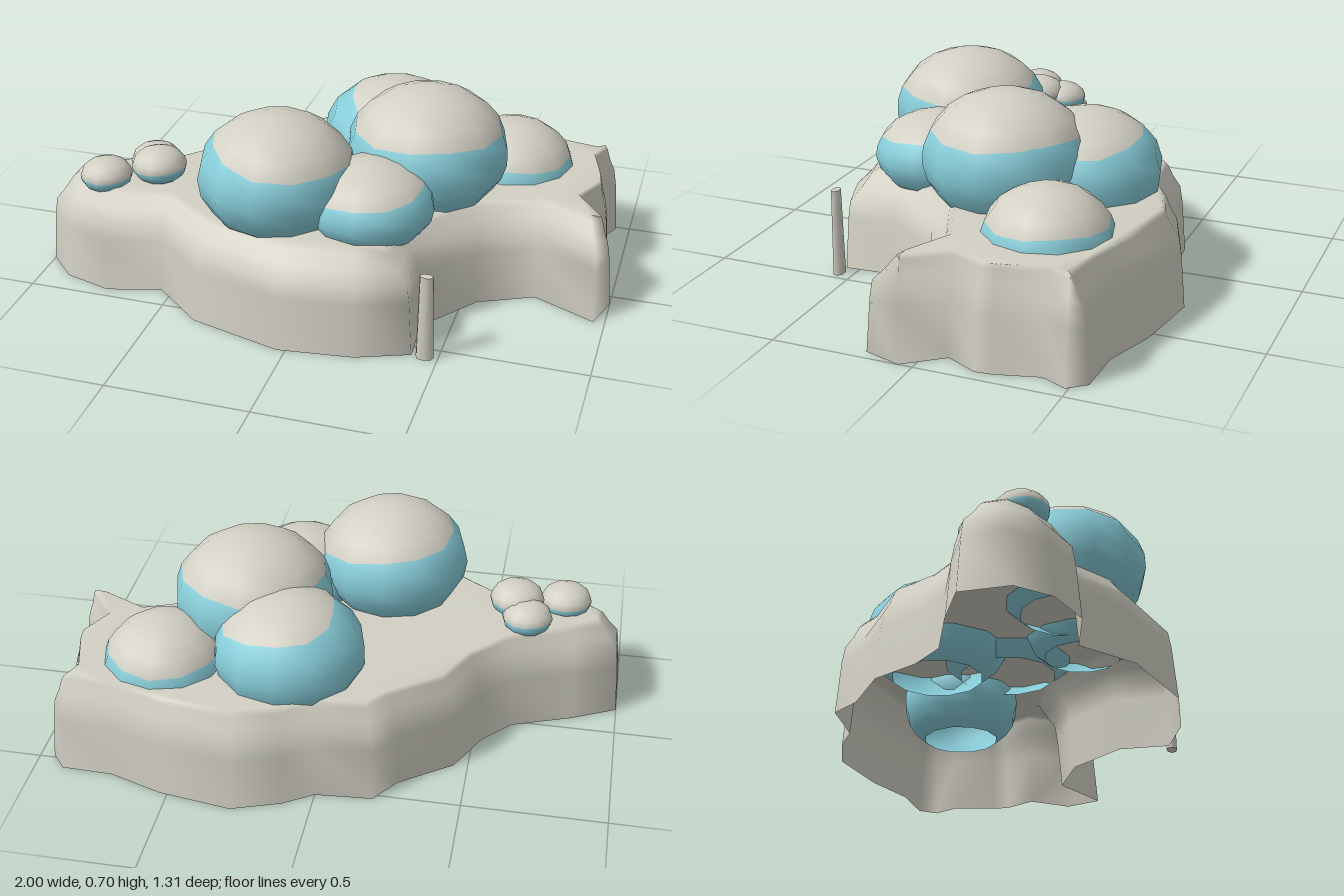
import * as THREE from 'three';

// Ground outline, seen from above: [x, z, bevel width]
const OUTLINE = [
  [-1, .14, .11], [-.84, .06, .08], [-.63, -.02, .07], [-.53, -.13, .07], [-.45, -.29, .07],
  [-.27, -.42, .07], [-.2, -.52, .08], [0, -.535, .07], [.1, -.6, .07], [.27, -.66, .08],
  [.53, -.62, .07], [.72, -.555, .06], [.9, -.55, .09], [.95, -.49, .06], [.91, -.4, .05],
  [.95, -.25, .045], [.955, -.19, .045], [.9, -.08, .05], [1, .05, .05], [.96, .18, .12],
  [.74, .08, .09], [.55, .17, .1], [.4, .37, .1], [.41, .55, .13], [.23, .62, .12],
  [-.03, .65, .12], [-.36, .56, .11], [-.54, .41, .09], [-.73, .46, .1], [-.9, .41, .11], [-1, .31, .1],
];

// Rings of the ground shell: [height, fixed inset, share of the bevel width]
const RINGS = [[0, 0, 0], [.19, .016, 0], [.25, .026, 0], [.29, .02, .4], [.335, .01, .8], [.35, 0, 1.1]];

function groundGeometry() {
  const n = OUTLINE.length;
  const inward = OUTLINE.map((p, i) => {
    const a = OUTLINE[(i + n - 1) % n], b = OUTLINE[(i + 1) % n];
    const d1 = new THREE.Vector2(p[0] - a[0], p[1] - a[1]).normalize();
    const d2 = new THREE.Vector2(b[0] - p[0], b[1] - p[1]).normalize();
    const d = d1.add(d2).normalize();
    return new THREE.Vector2(-d.y, d.x);
  });
  const positions = [], indices = [];
  let rim = [];
  for (const [y, inset, share] of RINGS) {
    rim = OUTLINE.map(([x, z, bevel], i) =>
      new THREE.Vector2(x, z).addScaledVector(inward[i], inset + share * bevel));
    rim.forEach((p) => positions.push(p.x, y, p.y));
  }
  for (let k = 0; k < RINGS.length - 1; k++) {
    for (let i = 0; i < n; i++) {
      const a = k * n + i, b = k * n + (i + 1) % n;
      indices.push(a, a + n, b + n, a, b + n, b);
    }
  }
  // flat top inside the last ring, every triangle facing up
  const base = (RINGS.length - 1) * n;
  for (const [a, b, c] of THREE.ShapeUtils.triangulateShape(rim, [])) {
    const ab = rim[b].clone().sub(rim[a]), ac = rim[c].clone().sub(rim[a]);
    const up = ab.y * ac.x - ab.x * ac.y > 0;
    indices.push(base + a, base + (up ? b : c), base + (up ? c : b));
  }
  const geo = new THREE.BufferGeometry();
  geo.setAttribute('position', new THREE.Float32BufferAttribute(positions, 3));
  geo.setIndex(indices);
  geo.computeVertexNormals();
  return geo;
}

// Part of a squashed ball between two polar angles that may vary around it
function ballPart(r, ry, rows, isCap, from, to) {
  const geo = new THREE.SphereGeometry(1, 12, rows, 0, Math.PI * 2, isCap ? 0 : .5, 1);
  const { position, normal, uv } = geo.attributes;
  const v = new THREE.Vector3();
  for (let i = 0; i < position.count; i++) {
    const phi = uv.getX(i) * Math.PI * 2;
    const theta = THREE.MathUtils.lerp(from(phi), to(phi), 1 - uv.getY(i));
    const s = Math.sin(theta);
    v.set(-Math.cos(phi) * s, Math.cos(theta), Math.sin(phi) * s);
    position.setXYZ(i, v.x * r, v.y * ry, v.z * r);
    v.set(v.x / r, v.y / ry, v.z / r).normalize();
    normal.setXYZ(i, v.x, v.y, v.z);
  }
  return geo;
}

// Boulders: [name, x, centre y, z, radius, half height, colour line height, tilt of that line along x]
const BOULDERS = [
  ['frontBoulder', -.135, .475, .3, .275, .217, .575, -.03],
  ['backBoulder', .14, .405, -.255, .268, .21, .54, -.03],
  ['topBoulder', .312, .475, -.03, .287, .23, .572, 0],
  ['sideBoulder', .575, .31, -.285, .225, .188, .385, 0],
  ['lowBoulder', .19, .405, .28, .223, .15, .465, .02],
  ['smallBoulderBack', -.65, .375, .135, .09, .06, .38, 0],
  ['smallBoulderFront', -.78, .37, .285, .092, .06, .37, 0],
  ['smallBoulderTop', -.605, .4, .217, .098, .064, .4, 0],
];

export function createModel() {
  const stone = new THREE.MeshStandardMaterial({ color: 0xd2d0c4, side: THREE.DoubleSide });
  stone.name = 'paleStone';
  const ice = new THREE.MeshStandardMaterial({ color: 0x87cdd9, side: THREE.DoubleSide });
  ice.name = 'paleBlue';

  const model = new THREE.Group();
  model.name = 'boulderIsland';
  const add = (parent, name, geo, mat) => {
    const mesh = new THREE.Mesh(geo, mat);
    mesh.name = name;
    parent.add(mesh);
    return mesh;
  };

  add(model, 'ground', groundGeometry(), stone);

  // boulders: stone cap above a wavy line, blue below, open underneath
  BOULDERS.forEach(([name, x, y, z, r, ry, line, tilt], k) => {
    const group = new THREE.Group();
    group.name = name;
    group.position.set(x, y, z);
    const edge = (phi) => {
      const h = line - y - tilt * Math.cos(phi) + .035 * ry * Math.sin(3 * phi + k);
      return Math.acos(h / ry);
    };
    add(group, 'cap', ballPart(r, ry, 4, true, () => 0, edge), stone);
    add(group, 'lowerBand', ballPart(r, ry, 5, false, edge, () => Math.acos(-.78)), ice);
    model.add(group);
  });

  // thin standing post beside the front edge
  const post = add(model, 'post', new THREE.CylinderGeometry(.024, .031, .315, 7), stone);
  post.scale.z = .62;
  post.position.set(.455, .1575, .553);
  return model;
}
